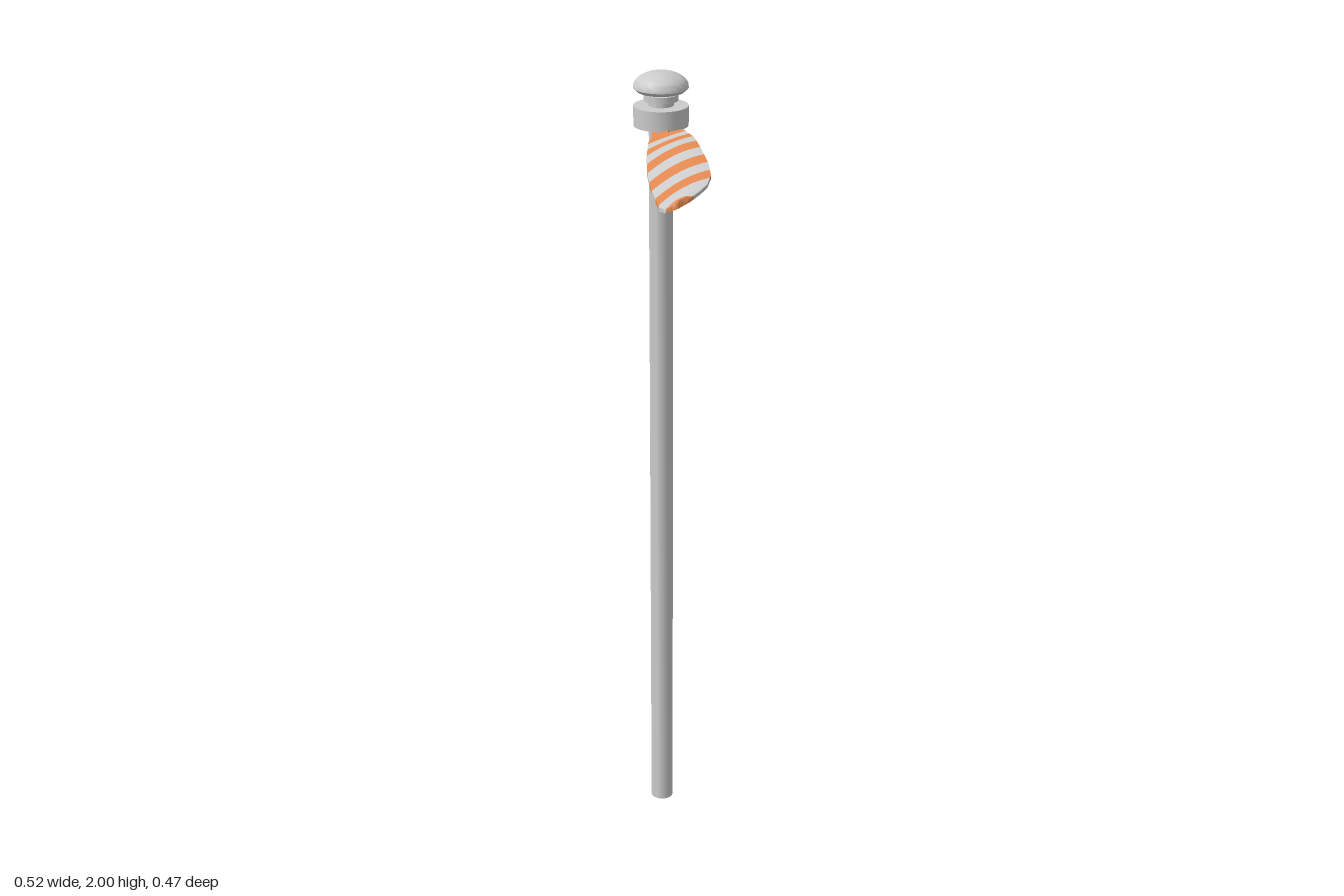
import * as THREE from 'three';
import { toCreasedNormals } from 'three/addons/utils/BufferGeometryUtils.js';

const GREY = 0xcccccc, ORANGE = 0xe28850;
const AXIS_X = 0.195, AXIS_Z = -0.172;
const TIP = 0.588, HALF_THICK = 0.004, ACROSS = 12;

// Blade outline: [distance from pole, sideways offset] for both edges
const LOW_EDGE = [[0.045, -0.028], [0.09, -0.034], [0.105, -0.043], [0.2, -0.059], [0.316, -0.072],
  [0.433, -0.077], [0.553, -0.076], [0.579, -0.067], [TIP, -0.041]];
const HIGH_EDGE = [[0.045, 0.022], [0.069, 0.007], [0.083, 0.006], [0.093, 0.037], [0.12, 0.041], [0.196, 0.047],
  [0.422, 0.047], [0.507, 0.04], [0.549, 0.026], [0.567, 0.008], [0.581, -0.013], [TIP, -0.041]];
// Stripe limits along the blade
const STRIPES = [0.045, 0.12, 0.158, 0.197, 0.25, 0.307, 0.366, 0.424, 0.478, 0.524, 0.577, TIP];

function sample(table, s) {
  const x = THREE.MathUtils.clamp(s, table[0][0], TIP);
  const i = Math.max(1, table.findIndex((p) => p[0] >= x));
  const [a, b] = [table[i - 1], table[i]];
  return THREE.MathUtils.mapLinear(x, a[0], b[0], a[1], b[1]);
}

// Point on the twisted, cambered blade; u runs outward, v across, side is +1 top or -1 underside
function bladePoint(u, v, side) {
  const offset = (s) => THREE.MathUtils.lerp(sample(LOW_EDGE, s), sample(HIGH_EDGE, s), v);
  const slant = 0.6 * u * u * Math.min(1, (TIP - u) / 0.06);
  const s = u - slant * offset(u);
  const t = offset(s);
  const w = THREE.MathUtils.smoothstep(s, 0.06, 0.3);
  const y = 1.872 + 0.008 * w + (0.3 + 0.15 * w) * t
    + 0.01 * w * (1 - (2 * v - 1) ** 2) + side * HALF_THICK;
  return [AXIS_X + (t - s) * Math.SQRT1_2, y, AXIS_Z + (t + s) * Math.SQRT1_2];
}

// Skin through cross-sections between two distances from the pole
function skin(u0, u1, steps, section) {
  const pos = [], index = [], n = section.length;
  for (let i = 0; i <= steps; i++) {
    const u = THREE.MathUtils.lerp(u0, u1, i / steps);
    for (const [v, side] of section) pos.push(...bladePoint(u, v, side));
  }
  for (let i = 0; i < steps; i++) {
    for (let j = 0; j < n - 1; j++) {
      const a = i * n + j, b = a + n;
      index.push(a, b, b + 1, a, b + 1, a + 1);
    }
  }
  const geo = new THREE.BufferGeometry();
  geo.setAttribute('position', new THREE.Float32BufferAttribute(pos, 3));
  geo.setIndex(index);
  return toCreasedNormals(geo, 0.7);
}

function addMesh(parent, name, geometry, color = GREY) {
  const mesh = new THREE.Mesh(geometry, new THREE.MeshStandardMaterial({ color }));
  mesh.name = name;
  parent.add(mesh);
  return mesh;
}

function addTurned(parent, name, points, segments = 32) {
  const profile = points.map(([r, y]) => new THREE.Vector2(r, y));
  const geo = toCreasedNormals(new THREE.LatheGeometry(profile, segments), 0.6);
  addMesh(parent, name, geo).position.set(AXIS_X, 0, AXIS_Z);
}

export function createModel() {
  const model = new THREE.Group();

  // Upright and turned head
  addTurned(model, 'pole', [[0, 0], [0.029, 0], [0.029, 1.88], [0, 1.88]], 24);
  addTurned(model, 'collar', [[0, 1.873], [0.065, 1.873], [0.065, 1.92], [0, 1.92]]);
  addTurned(model, 'neck', [[0.03, 1.915], [0.03, 1.932], [0.041, 1.932], [0.041, 1.947], [0.03, 1.947], [0.03, 1.958]]);
  const dome = [[0, 1.953], [0.055, 1.953], [0.065, 1.962]];
  for (let i = 1; i <= 9; i++) {
    const a = (i / 9) * Math.PI / 2;
    dome.push([0.065 * Math.cos(a), 1.964 + 0.036 * Math.sin(a)]);
  }
  addTurned(model, 'domeCap', dome);

  // Striped blade: coloured top and rim, plain underside
  const blade = new THREE.Group();
  blade.name = 'blade';
  model.add(blade);
  const row = Array.from({ length: ACROSS + 1 }, (_, j) => j / ACROSS);
  const topSection = [[0, -1], ...row.map((v) => [v, 1]), [1, -1]];
  const underSection = row.map((v) => [1 - v, -1]);
  for (let i = 0; i < STRIPES.length - 1; i++) {
    const color = i % 2 ? GREY : ORANGE;
    addMesh(blade, 'bladeStripe', skin(STRIPES[i], STRIPES[i + 1], 12, topSection), color);
  }
  addMesh(blade, 'bladeUnderside', skin(STRIPES[0], TIP, 120, underSection));

  return model;
}
